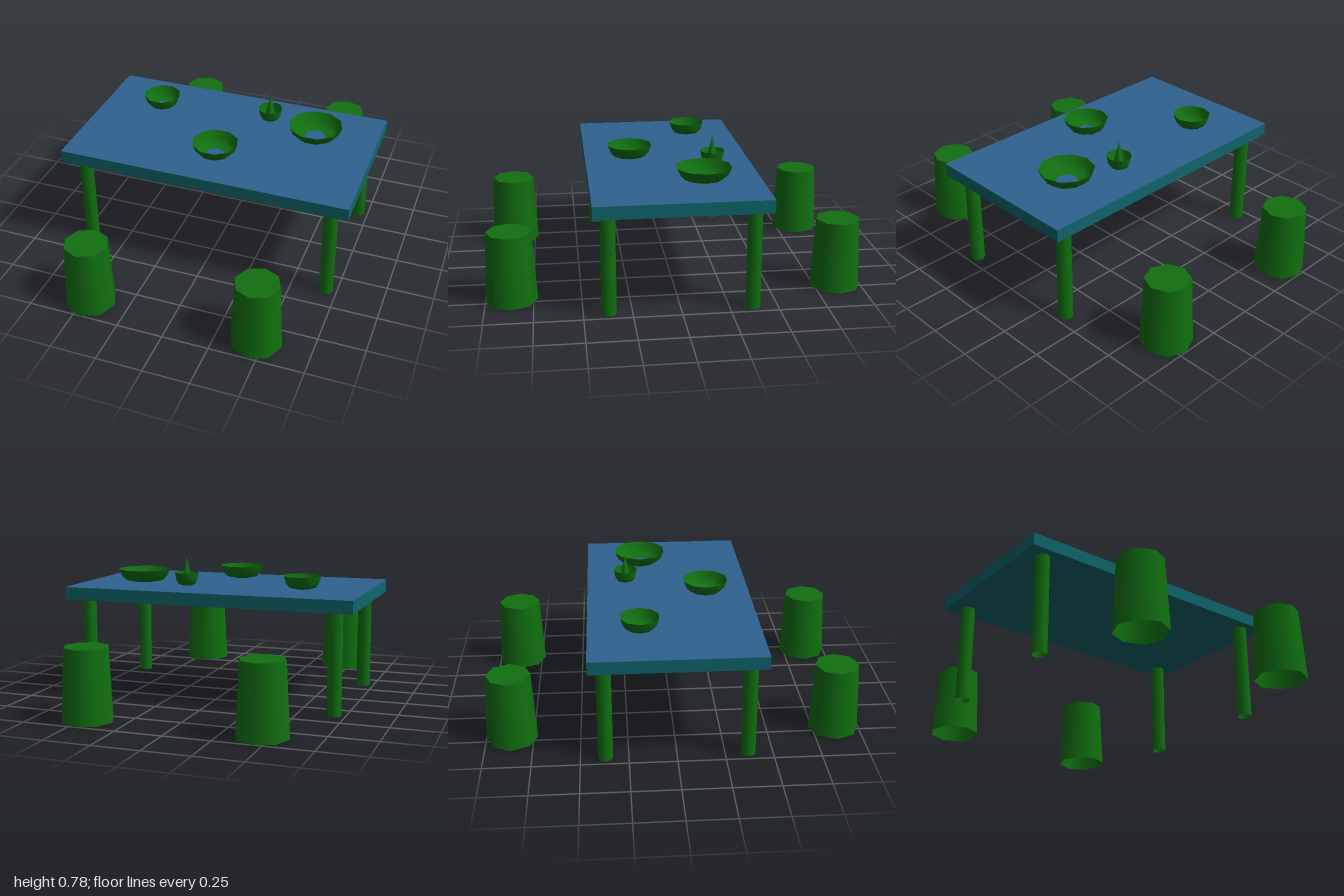
import * as THREE from 'three';

const mat = (color) => new THREE.MeshStandardMaterial({ color, side: THREE.DoubleSide });
const green = mat(0x117011);
const blue = mat(0x2f6290);
const teal = mat(0x0f666c);

function add(parent, name, geometry, material, x = 0, y = 0, z = 0) {
  const mesh = new THREE.Mesh(geometry, material);
  mesh.name = name;
  mesh.position.set(x, y, z);
  parent.add(mesh);
  return mesh;
}

// Tapered post standing on the floor, open underneath
function post(parent, name, rTop, rBottom, height, x, z, capped) {
  const group = new THREE.Group();
  group.name = name;
  group.position.set(x, 0, z);
  add(group, name + 'Side', new THREE.CylinderGeometry(rTop, rBottom, height, 8, 1, true), green, 0, height / 2, 0);
  if (capped) {
    const cap = new THREE.CircleGeometry(rTop, 8).rotateX(-Math.PI / 2);
    add(group, name + 'Top', cap, green, 0, height, 0);
  }
  parent.add(group);
}

// Ten-sided bowl with an open centre, its rim at y = 0.69
function bowl(parent, name, radius, x, z) {
  const profile = [[0.39, 0], [0.7, 0.008], [0.87, 0.03], [1, 0.07]]
    .map(([r, y]) => new THREE.Vector2(r * radius, y));
  const geometry = new THREE.LatheGeometry(profile, 10).rotateY(Math.PI / 2);
  add(parent, name, geometry, green, x, 0.622, z);
}

export function createModel() {
  const model = new THREE.Group();
  model.name = 'tableSet';

  // Tabletop: teal slab with a blue surface
  add(model, 'tableSlab', new THREE.BoxGeometry(1.59, 0.068, 0.896), teal, 0, 0.576, 0);
  add(model, 'tableSurface', new THREE.PlaneGeometry(1.59, 0.896).rotateX(-Math.PI / 2), blue, 0, 0.612, 0);

  // Legs and stools, mirrored to all four corners
  for (const sx of [-1, 1]) {
    for (const sz of [-1, 1]) {
      post(model, 'leg', 0.039, 0.039, 0.545, sx * 0.69, sz * 0.37, false);
      post(model, 'stool', 0.117, 0.136, 0.38, sx * 0.46, sz * 0.864, true);
    }
  }

  // Bowls on the table
  bowl(model, 'leftBowl', 0.148, 0.458, -0.142);
  bowl(model, 'rightBowl', 0.103, -0.462, -0.177);
  bowl(model, 'frontBowl', 0.124, 0, 0.203);
  bowl(model, 'smallBowl', 0.067, 0.17, -0.233);

  // Spike standing in the small bowl
  add(model, 'spike', new THREE.ConeGeometry(0.032, 0.15, 8), green, 0.17, 0.701, -0.233);
  return model;
}
